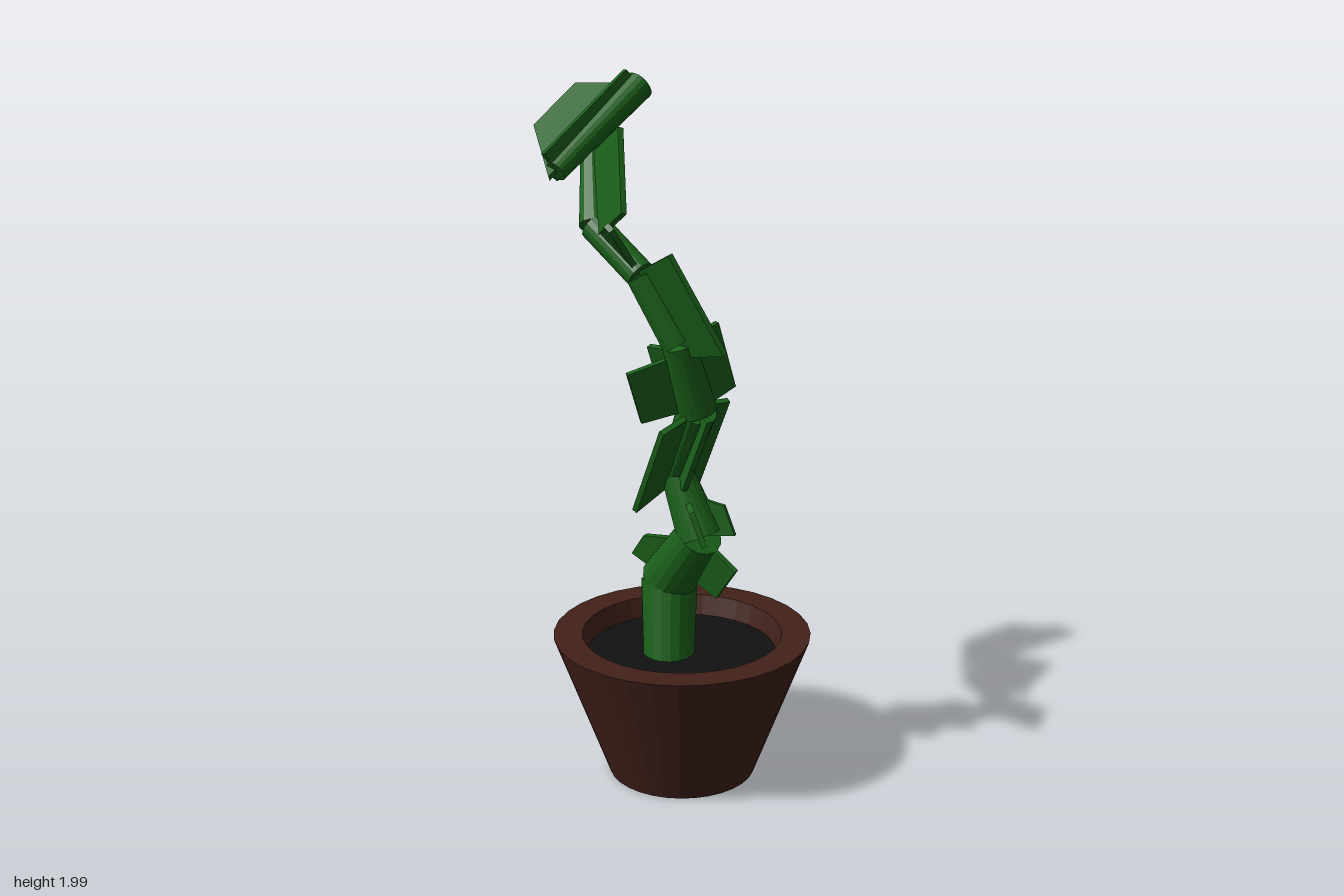
import * as THREE from 'three';

// Tapered stem piece between two points
function stemPiece({ a, b, r0, r1 }, material) {
  const dir = b.clone().sub(a);
  const mesh = new THREE.Mesh(new THREE.CylinderGeometry(r1, r0, dir.length(), 18), material);
  mesh.position.copy(a).addScaledVector(dir, 0.5);
  mesh.quaternion.setFromUnitVectors(new THREE.Vector3(0, 1, 0), dir.normalize());
  mesh.name = 'stemPiece';
  return mesh;
}

// Thin slab leaf: rooted along a stem piece from t0 to t1, pushed outward,
// with its outer edge scaled by taper
function leafPlate({ a, b }, [t0, t1, x, y, z, taper], material) {
  const root0 = a.clone().lerp(b, t0);
  const root1 = a.clone().lerp(b, t1);
  const outer0 = root0.clone().add(new THREE.Vector3(x, y, z));
  const outer1 = outer0.clone().addScaledVector(root1.clone().sub(root0), taper);
  const corners = [root0, root1, outer1, outer0];
  const half = outer1.clone().sub(root0).cross(outer0.clone().sub(root1)).setLength(0.008);
  const front = corners.map((p) => p.clone().add(half));
  const back = corners.map((p) => p.clone().sub(half));
  const pos = [];
  const quad = (p, q, r, s) => [p, q, r, p, r, s].forEach((v) => pos.push(v.x, v.y, v.z));
  quad(...front);
  quad(back[3], back[2], back[1], back[0]);
  for (let i = 0; i < 4; i++) {
    const j = (i + 1) % 4;
    quad(front[i], back[i], back[j], front[j]);
  }
  const geo = new THREE.BufferGeometry();
  geo.setAttribute('position', new THREE.Float32BufferAttribute(pos, 3));
  geo.computeVertexNormals();
  const mesh = new THREE.Mesh(geo, material);
  mesh.name = 'leafPlate';
  return mesh;
}

export function createModel() {
  const model = new THREE.Group();
  model.name = 'pottedPlant';
  const green = new THREE.MeshStandardMaterial({ color: 0x1b601b, flatShading: true });
  const brown = new THREE.MeshStandardMaterial({ color: 0x42211a, flatShading: true });
  const black = new THREE.MeshStandardMaterial({ color: 0x111111 });

  // Pot: closed bottom, sloping wall, flat rim and inner wall
  const profile = [[0, 0], [0.21, 0], [0.367, 0.42], [0.285, 0.42], [0.268, 0.355]];
  const pot = new THREE.Mesh(
    new THREE.LatheGeometry(profile.map(([x, y]) => new THREE.Vector2(x, y)), 32), brown);
  pot.name = 'pot';
  pot.position.z = 0.008;
  model.add(pot);

  // Soil
  const soil = new THREE.Mesh(new THREE.CircleGeometry(0.272, 32), black);
  soil.name = 'soil';
  soil.rotation.x = -Math.PI / 2;
  soil.position.set(0, 0.362, 0.008);
  model.add(soil);

  // Crooked stem joints: x, y, z, radius
  const joints = [
    [-0.035, 0.34, -0.01, 0.073],
    [0.005, 0.565, -0.05, 0.081],
    [-0.01, 0.74, 0.09, 0.065],
    [-0.035, 0.92, 0.02, 0.045],
    [-0.06, 1.12, 0.13, 0.055],
    [-0.13, 1.32, 0.13, 0.045],
    [-0.19, 1.5, 0.05, 0.04],
    [-0.21, 1.61, -0.11, 0.04],
    [-0.12, 1.79, -0.22, 0.03],
  ].map(([x, y, z, r]) => ({ p: new THREE.Vector3(x, y, z), r }));
  const pieces = joints.slice(1).map((end, i) => (
    { a: joints[i].p, b: end.p, r0: joints[i].r, r1: end.r }));

  // Crown piece lying across the top of the stem
  pieces.push({
    a: new THREE.Vector3(-0.25, 1.745, -0.215),
    b: new THREE.Vector3(0.055, 1.945, -0.22),
    r0: 0.03,
    r1: 0.042,
  });
  const stem = new THREE.Group();
  stem.name = 'stem';
  pieces.forEach((piece) => stem.add(stemPiece(piece, green)));
  model.add(stem);

  // Leaves: stem piece, root start and end, outward x, y, z, taper
  const leaves = new THREE.Group();
  leaves.name = 'leaves';
  [
    [1, 0, 0.9, -0.02, 0.05, -0.13, 0.45],
    [1, 0.3, 1, 0.03, -0.067, 0.128, 0.85],
    [2, 0, 0.65, -0.06, 0, 0.08, 0.8],
    [2, 0, 0.65, 0.05, 0.01, 0.09, 0.7],
    [3, -0.2, 1, -0.15, -0.05, 0.01, 1.1],
    [3, -0.2, 1.1, 0.1, -0.03, 0, 1.1],
    [3, -0.15, 1, -0.03, -0.01, 0.08, 1],
    [4, 0.05, 0.85, -0.137, -0.03, -0.07, 0.9],
    [4, 0, 1, 0.12, 0.05, 0.02, 0.95],
    [4, 0.05, 0.9, -0.01, 0, -0.115, 0.95],
    [5, -0.2, 1.05, -0.007, 0.036, 0.155, 1.15],
    [5, 0.2, 0.8, 0.11, 0.02, -0.06, 0.9],
    [6, -0.2, 1, 0.08, -0.06, -0.07, 1],
    [6, 0, 0.8, -0.13, 0.14, 0.035, 0.15],
    [7, -0.2, 0.9, -0.02, 0.096, 0.14, 1],
    [8, -0.08, 1, 0.084, 0.11, -0.16, 0.46],
    [8, 0, 1, -0.035, 0.05, -0.01, 0.97],
    [8, 0, 1, 0.03, -0.03, -0.04, 1],
  ].forEach(([piece, ...shape]) => leaves.add(leafPlate(pieces[piece], shape, green)));
  model.add(leaves);

  return model;
}
